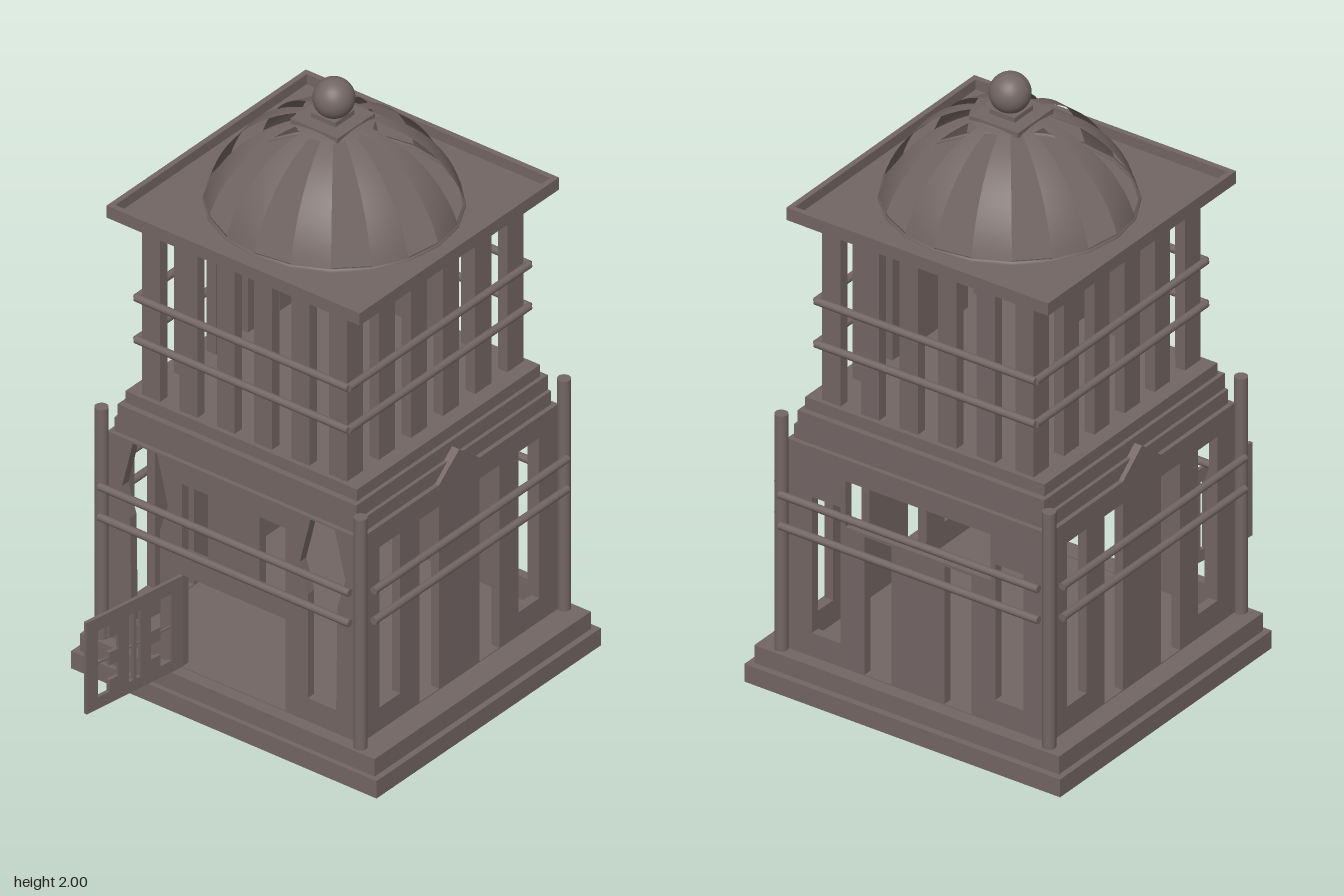
import * as THREE from 'three';

export function createModel() {
  const model = new THREE.Group();
  model.name = 'domedPavilion';
  const stone = new THREE.MeshStandardMaterial({ color: 0x736664, side: THREE.DoubleSide });
  stone.name = 'brown stone';

  const tower = new THREE.Group();
  tower.name = 'tower';
  tower.position.set(-0.008, 0, -0.156);
  model.add(tower);

  function add(name, geometry, x = 0, y = 0, z = 0, parent = tower) {
    const mesh = new THREE.Mesh(geometry, stone);
    mesh.name = name;
    mesh.position.set(x, y, z);
    parent.add(mesh);
    return mesh;
  }
  // Box centred on the tower axis between two heights
  const slab = (name, hx, hz, y0, y1, x = 0, z = 0) =>
    add(name, new THREE.BoxGeometry(hx * 2, y1 - y0, hz * 2), x, (y0 + y1) / 2, z);

  const polygon = (points) => points.map(([x, y]) => new THREE.Vector2(x, y));
  const rect = (x0, x1, y0, y1) => polygon([[x0, y0], [x1, y0], [x1, y1], [x0, y1]]);
  // Upright panel with holes, its outer face at z = 0
  function panel(outline, holes, depth) {
    const shape = new THREE.Shape(outline);
    shape.holes = holes.map((h) => new THREE.Path(h));
    const geometry = new THREE.ExtrudeGeometry(shape, { depth, bevelEnabled: false });
    return geometry.translate(0, 0, -depth);
  }
  // Places a panel on one of four sides: 0 front, 1 left, 2 back, 3 right
  function onSide(name, geometry, side, hx, hz) {
    const mesh = add(name, geometry);
    const angle = side * Math.PI / 2;
    mesh.rotation.y = angle;
    mesh.position.set(Math.sin(angle) * hx, 0, Math.cos(angle) * hz);
  }

  // Stepped base
  slab('lowerStep', 0.567, 0.527, 0, 0.06, 0.008, -0.005);
  slab('upperStep', 0.547, 0.508, 0.06, 0.12, 0.008, -0.002);

  // Lower storey walls with tall windows
  const WX = 0.47, WZ = 0.465, WALL_TOP = 0.828;
  const mirrored = (h) => [h, h.map((p) => new THREE.Vector2(-p.x, p.y))];
  const sideHoles = [
    ...mirrored(rect(0.095, 0.188, 0.123, 0.755)),
    ...mirrored(rect(0.278, 0.375, 0.2, 0.755)),
  ];
  const backHoles = [
    ...mirrored(rect(0.095, 0.192, 0.123, 0.59)),
    ...mirrored(rect(0.278, 0.38, 0.2, 0.66)),
    rect(-0.26, 0.26, 0.6, 0.755),
  ];
  const frontHoles = [
    rect(-0.192, 0.192, 0.123, 0.44),
    ...mirrored(rect(0.095, 0.192, 0.515, 0.755)),
    ...mirrored(polygon([[0.275, 0.2], [0.38, 0.2], [0.385, 0.56], [0.415, 0.66],
      [0.375, 0.822], [0.285, 0.822], [0.245, 0.66], [0.275, 0.56]])),
  ];
  const wallHoles = [frontHoles, sideHoles, backHoles, sideHoles];
  const wallNames = ['frontWall', 'leftWall', 'backWall', 'rightWall'];
  for (let side = 0; side < 4; side++) {
    const half = side % 2 ? WZ : WX;
    // The two flanks rise to a small gable
    const gable = side % 2 ? [[0.095, WALL_TOP], [0, 0.905], [-0.095, WALL_TOP]] : [];
    const outline = polygon([[-half, 0.12], [half, 0.12], [half, WALL_TOP], ...gable, [-half, WALL_TOP]]);
    onSide(wallNames[side], panel(outline, wallHoles[side], 0.03), side, WX, WZ);
  }
  // Recessed band above the walls
  slab('frieze', WX - 0.015, WZ - 0.015, WALL_TOP, 0.875);

  // Corner posts
  for (const x of [-1, 1]) for (const z of [-1, 1]) {
    add('cornerPost', new THREE.CylinderGeometry(0.021, 0.021, 0.795, 16), x * 0.481, 0.5175, z * 0.478);
  }

  // Horizontal rails round a storey
  function rails(name, heights, hx, hz, lenX, lenZ) {
    for (const y of heights) for (const s of [-1, 1]) {
      add(name, new THREE.CylinderGeometry(0.0125, 0.0125, lenX, 12).rotateZ(Math.PI / 2), 0, y, s * hz);
      add(name, new THREE.CylinderGeometry(0.0125, 0.0125, lenZ, 12).rotateX(Math.PI / 2), s * hx, y, 0);
    }
  }
  rails('lowerRail', [0.555, 0.66], 0.511, 0.508, 0.93, 0.91);

  // Cornice and upper storey sill
  slab('cornice', 0.443, 0.45, 0.875, 0.925);
  slab('upperSill', 0.43, 0.43, 0.925, 0.965);

  // Upper storey slats, six to a side
  const UX = 0.38, UZ = 0.415, TH = 0.035;
  for (let i = 0; i < 6; i++) for (const s of [-1, 1]) {
    const t = (i - 2.5) / 2.5;
    slab('frontBackSlat', 0.033, TH / 2, 0.965, 1.54, t * (UX - 0.033), s * (UZ - TH / 2));
    slab('sideSlat', TH / 2, 0.038, 0.965, 1.54, s * (UX - TH / 2), t * (UZ - 0.038));
  }
  rails('upperRail', [1.155, 1.3], 0.393, 0.425, 0.79, 0.85);

  // Roof with a raised rim
  function roofFrame(name, hx, hz, y0, y1, hole) {
    const geometry = panel(rect(-hx, hx, -hz, hz), [hole], y1 - y0);
    add(name, geometry.rotateX(-Math.PI / 2), 0, y1, 0);
  }
  const round = new THREE.Path().absarc(0, 0, 0.37, 0, Math.PI * 2).getPoints(20).slice(0, -1);
  roofFrame('roofBed', 0.43, 0.43, 1.54, 1.568, round);
  slab('roofPlate', 0.47, 0.468, 1.568, 1.576);
  roofFrame('roofRim', 0.47, 0.468, 1.576, 1.61, rect(-0.452, 0.452, -0.45, 0.45));

  // Open dome: ten curved ribs with gaps between, joined by a crown and a base ring
  const dome = new THREE.Group();
  dome.name = 'dome';
  dome.position.set(0.006, 1.473, 0);
  dome.scale.z = 0.97;
  tower.add(dome);
  const RADIUS = 0.402;
  const arc = (r0, r1, n) => Array.from({ length: n + 1 }, (_, i) => {
    const a0 = Math.acos(r0 / RADIUS), a = a0 + (Math.acos(r1 / RADIUS) - a0) * i / n;
    return new THREE.Vector2(RADIUS * Math.cos(a), RADIUS * Math.sin(a));
  });
  const COUNT = 20, STEP = Math.PI * 2 / COUNT;
  for (let i = 1; i < COUNT; i += 2) {
    add('domeRib', new THREE.LatheGeometry(arc(0.389, 0.12, 12), 1, i * STEP, STEP), 0, 0, 0, dome);
  }
  add('domeCrown', new THREE.LatheGeometry(arc(0.12, 0.05, 3), COUNT), 0, 0, 0, dome);
  const ringProfile = polygon([[0.389, 0.1], [0.388, 0.112], [0.38, 0.112], [0.38, 0.1]]);
  add('domeBaseRing', new THREE.LatheGeometry(ringProfile, COUNT), 0, 0, 0, dome);

  // Cap and finial
  slab('domeCap', 0.088, 0.088, 1.855, 1.872);
  slab('finialNeck', 0.045, 0.045, 1.872, 1.888);
  add('finialBall', new THREE.SphereGeometry(0.063, 32, 20), 0.004, 1.937, 0);

  // Open gate with pierced pattern
  const L = 0.382, B = 0.125, T = 0.44;
  const comb = polygon([[0.045, 0.165], [0.09, 0.165], [0.09, 0.205], [0.127, 0.205],
    [0.127, 0.255], [0.09, 0.255], [0.09, 0.3], [0.127, 0.3], [0.127, 0.35],
    [0.09, 0.35], [0.09, 0.395], [0.045, 0.395]]);
  const gateHoles = [comb, comb.map((p) => new THREE.Vector2(L - p.x, p.y)),
    rect(0.168, 0.185, 0.165, 0.395), rect(0.197, 0.214, 0.165, 0.395)];
  const gate = new THREE.Group();
  gate.name = 'gate';
  gate.position.set(-0.194, 0, 0.465);
  gate.rotation.y = -99 * Math.PI / 180;
  tower.add(gate);
  add('gateLeaf', panel(rect(0, L, B, T), gateHoles, 0.012), 0, 0, 0.006, gate);
  add('gateBar', new THREE.BoxGeometry(L - 0.06, 0.006, 0.006), L / 2, 0.28, 0, gate);

  return model;
}
